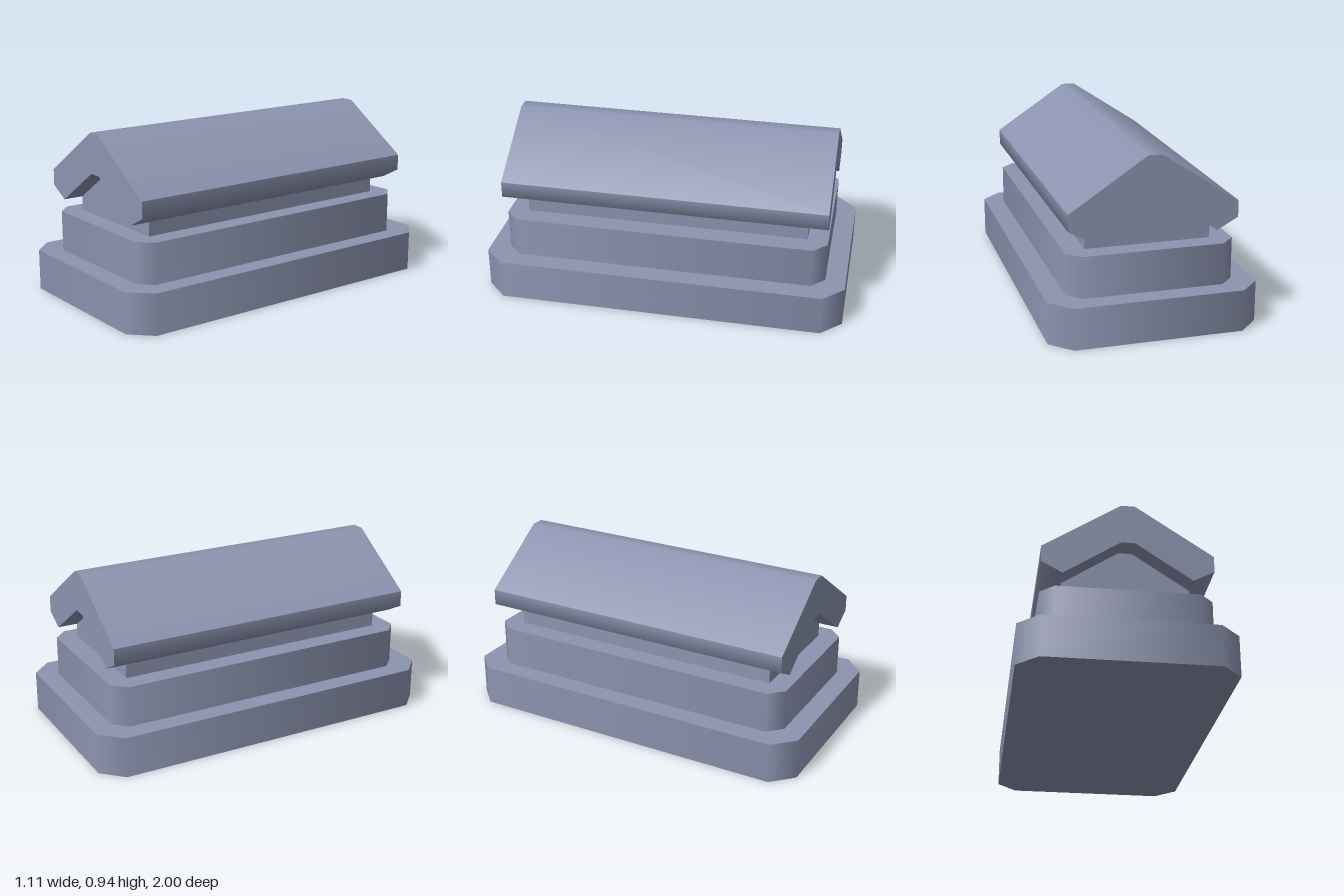
import * as THREE from 'three';
import { mergeGeometries } from 'three/addons/utils/BufferGeometryUtils.js';

// Smooth wall strip along one run of profile points (counter-clockwise), spanning z = -half..half
function wall(run, half, closed) {
  const pts = closed ? [...run, run[0]] : run;
  const edges = pts.slice(1).map((p, i) =>
    new THREE.Vector2(p[1] - pts[i][1], pts[i][0] - p[0]).normalize());
  const last = edges.length - 1;
  const position = [], normal = [], index = [];
  pts.forEach(([x, y], i) => {
    const before = edges[i > 0 ? i - 1 : closed ? last : 0];
    const after = edges[i <= last ? i : closed ? 0 : last];
    const n = before.clone().add(after).normalize();
    for (const z of [half, -half]) {
      position.push(x, y, z);
      normal.push(n.x, n.y, 0);
    }
    if (i <= last) {
      const a = i * 2;
      index.push(a, a + 1, a + 2, a + 2, a + 1, a + 3);
    }
  });
  const g = new THREE.BufferGeometry();
  g.setAttribute('position', new THREE.Float32BufferAttribute(position, 3));
  g.setAttribute('normal', new THREE.Float32BufferAttribute(normal, 3));
  g.setIndex(index);
  return g;
}

// Prism from smooth runs that meet at sharp edges; the profile is symmetric in x
function prism(runs, half) {
  const closed = runs.length === 1;
  const outline = closed ? runs[0] : runs.flatMap((r) => r.slice(0, -1));
  const shape = new THREE.Shape(outline.map(([x, y]) => new THREE.Vector2(x, y)));
  const front = new THREE.ShapeGeometry(shape).deleteAttribute('uv');
  const back = front.clone().rotateY(Math.PI);
  front.translate(0, 0, half);
  back.translate(0, 0, -half);
  return mergeGeometries([...runs.map((r) => wall(r, half, closed)), front, back]);
}

// Flat slab with cut corners, standing on y
function slab(w, d, cut, y, height) {
  const outline = [
    [w - cut, -d], [w, cut - d], [w, d - cut], [w - cut, d],
    [cut - w, d], [-w, d - cut], [-w, cut - d], [cut - w, -d],
  ];
  return prism([outline], height / 2).rotateX(-Math.PI / 2).translate(0, y + height / 2, 0);
}

export function createModel() {
  const group = new THREE.Group();
  const stone = new THREE.MeshStandardMaterial({ color: 0x8c94b0 });
  stone.name = 'blue grey stone';
  const add = (name, geometry) => {
    const mesh = new THREE.Mesh(geometry, stone);
    mesh.name = name;
    group.add(mesh);
  };

  // Two stepped plinths
  add('lowerPlinth', slab(0.555, 1, 0.111, 0, 0.222));
  add('upperPlinth', slab(0.444, 0.889, 0.074, 0.222, 0.222));

  // Gabled body under the roof
  const gable = [[0.333, 0.52], [0.037, 0.718], [-0.037, 0.718], [-0.333, 0.52]];
  add('body', prism([
    [[-0.333, 0.444], [0.333, 0.444]],
    [[0.333, 0.444], [0.333, 0.52]],
    gable,
    [[-0.333, 0.52], [-0.333, 0.444]],
  ], 0.778));

  // Thick overhanging roof with bevelled eaves
  add('roof', prism([
    [[0.444, 0.668], [0.037, 0.938], [-0.037, 0.938], [-0.444, 0.668]],
    [[-0.444, 0.668], [-0.444, 0.58], [-0.333, 0.52]],
    [...gable].reverse(),
    [[0.333, 0.52], [0.444, 0.58], [0.444, 0.668]],
  ], 0.889));

  return group;
}
